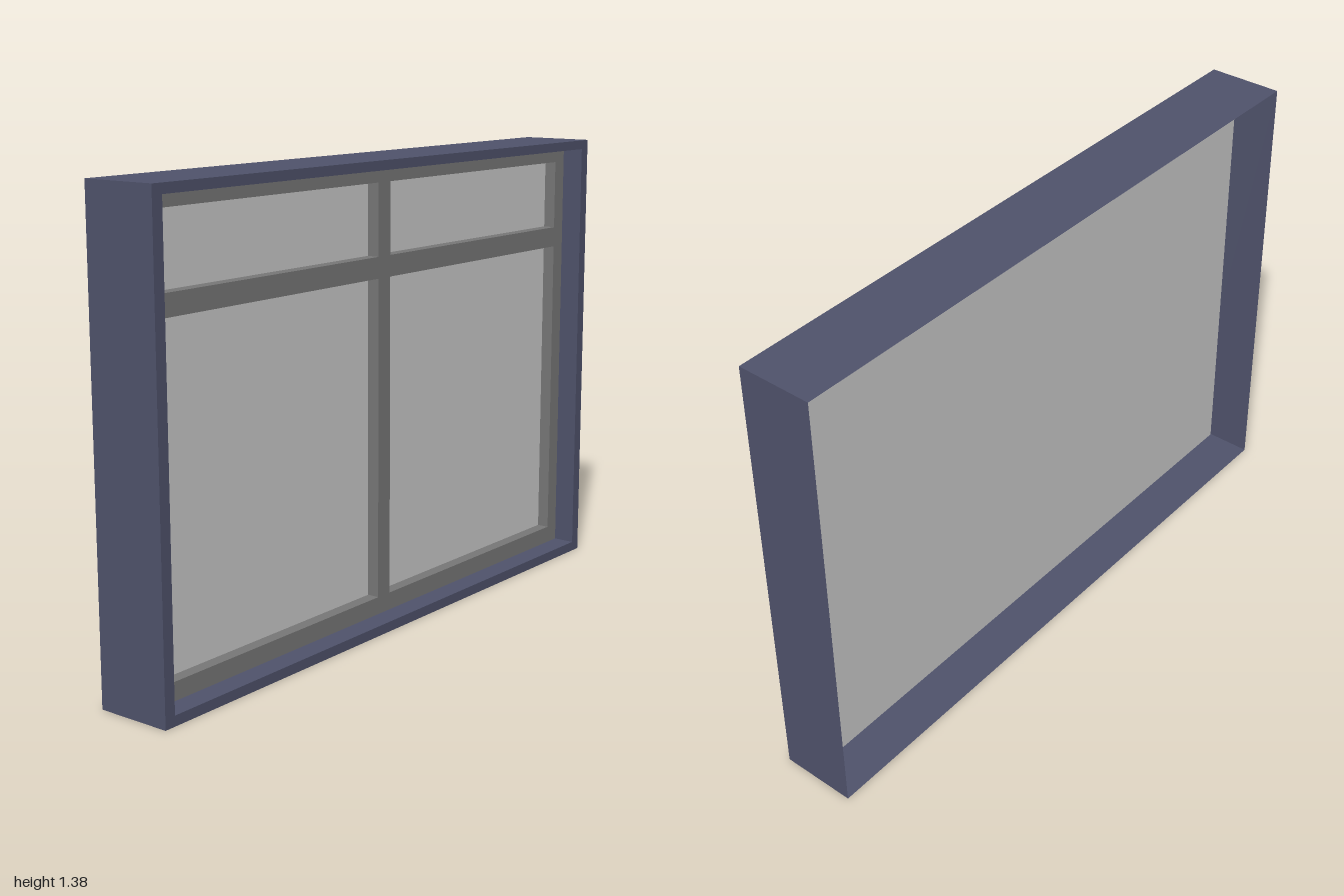
import * as THREE from 'three';

const W = 1, H = 1.385, D = 0.115;            // half width, height, half depth
const IN = { x: 0.965, y0: 0.03, y1: 1.357 }; // opening inside the front rim
const SASH_FRONT = 0.047, GLASS_Z = 0.009;

const mat = (color) => new THREE.MeshStandardMaterial({ color, side: THREE.DoubleSide });

// Four corners of an upright rectangle, counter-clockwise from the front
const rect = (x0, x1, y0, y1, z) => [[x0, y0, z], [x1, y0, z], [x1, y1, z], [x0, y1, z]];

// Flat-faced surface joining successive rectangular loops
function loft(loops) {
  const pos = [];
  for (let i = 0; i < loops.length - 1; i++) {
    for (let k = 0; k < 4; k++) {
      const n = (k + 1) % 4;
      const a = loops[i][k], b = loops[i][n], c = loops[i + 1][n], d = loops[i + 1][k];
      pos.push(...a, ...b, ...c, ...a, ...c, ...d);
    }
  }
  const g = new THREE.BufferGeometry();
  g.setAttribute('position', new THREE.Float32BufferAttribute(pos, 3));
  g.computeVertexNormals();
  return g;
}

function path(PathType, x0, x1, y0, y1) {
  return new PathType(rect(x0, x1, y0, y1, 0).map(([x, y]) => new THREE.Vector2(x, y)));
}

export function createModel() {
  const model = new THREE.Group();
  model.name = 'window';
  const add = (name, geometry, material) => {
    const mesh = new THREE.Mesh(geometry, material);
    mesh.name = name;
    model.add(mesh);
    return mesh;
  };

  // Outer casing: thin walls open at the back, front rim, and inner return
  add('casing', loft([
    rect(-W, W, 0, H, -D),
    rect(-W, W, 0, H, D),
    rect(-IN.x, IN.x, IN.y0, IN.y1, D),
    rect(-IN.x, IN.x, IN.y0, IN.y1, GLASS_Z),
  ]), mat(0x50536c));

  // Sash with a mullion and a transom, leaving four openings
  const sash = path(THREE.Shape, -IN.x, IN.x, IN.y0, IN.y1);
  for (const [x0, x1] of [[-0.915, -0.028], [0.028, 0.915]]) {
    for (const [y0, y1] of [[0.083, 1.04], [1.103, 1.315]]) {
      sash.holes.push(path(THREE.Path, x0, x1, y0, y1));
    }
  }
  const sashGeometry = new THREE.ExtrudeGeometry(sash, {
    depth: SASH_FRONT - GLASS_Z, bevelEnabled: false,
  });
  add('sash', sashGeometry, mat(0x787878)).position.z = GLASS_Z;

  // One glass sheet behind the sash
  const glass = add('glass', new THREE.PlaneGeometry(2 * IN.x, IN.y1 - IN.y0), mat(0xcccccc));
  glass.position.set(0, (IN.y0 + IN.y1) / 2, GLASS_Z - 0.002);

  return model;
}
